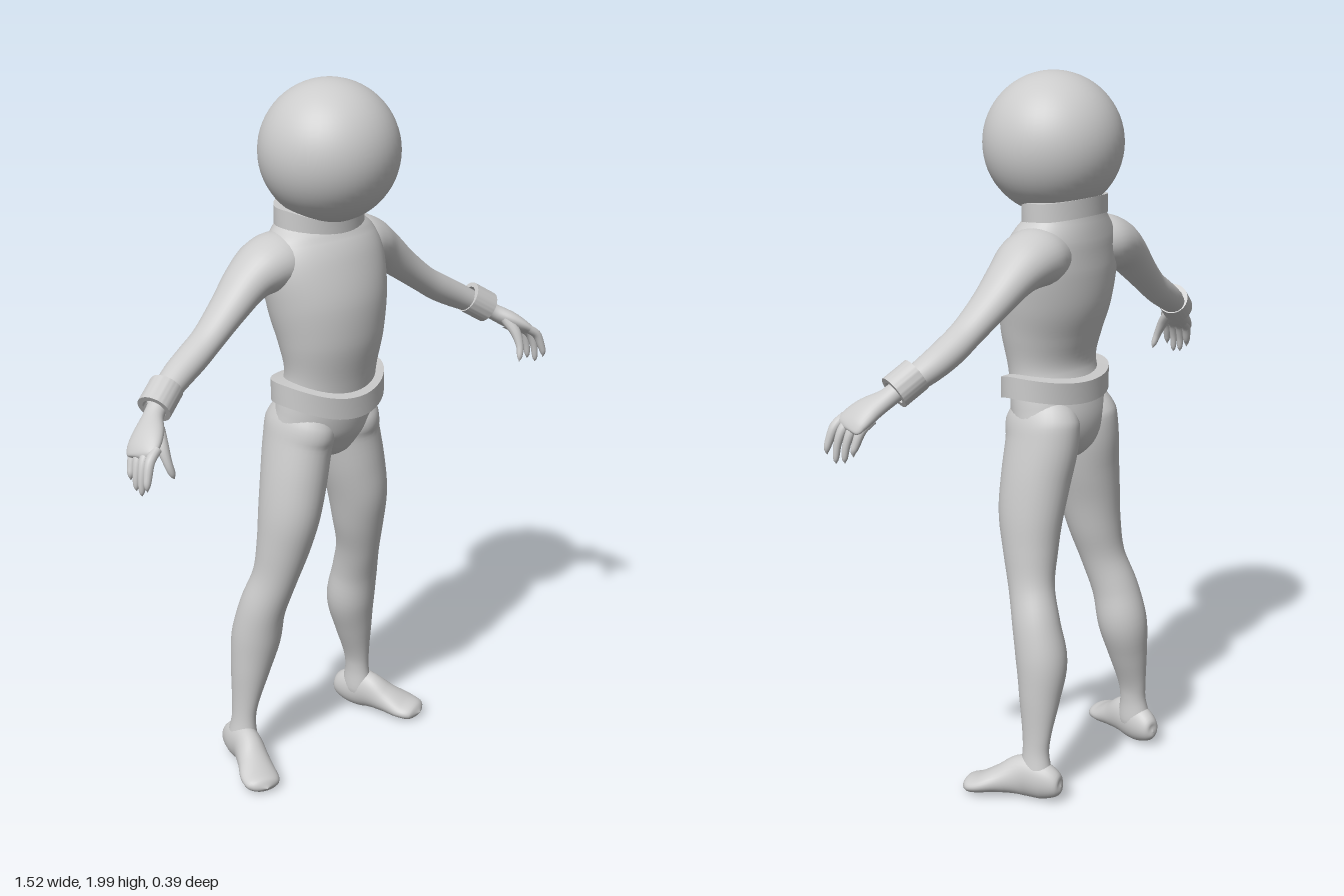
import * as THREE from 'three';
import { toCreasedNormals } from 'three/addons/utils/BufferGeometryUtils.js';

const material = new THREE.MeshStandardMaterial({ color: 0xcccccc });
const X = new THREE.Vector3(1, 0, 0);
const Y = new THREE.Vector3(0, 1, 0);
const Z = new THREE.Vector3(0, 0, 1);

function addMesh(parent, name, geometry) {
  const mesh = new THREE.Mesh(geometry, material);
  mesh.name = name;
  parent.add(mesh);
  return mesh;
}

// Smooth loft through sections [x, y, z, a, b]: elliptical rings square to the
// path, a = half-size along ref, b = half-size across it. side = -1 mirrors x.
function loft(sections, ref, side = 1, steps = 5, sides = 32) {
  const path = new THREE.CatmullRomCurve3(
    sections.map(s => new THREE.Vector3(s[0] * side, s[1], s[2])), false, 'catmullrom');
  const sizes = new THREE.CatmullRomCurve3(
    sections.map(s => new THREE.Vector3(s[3], s[4], 0)), false, 'catmullrom');
  const rings = (sections.length - 1) * steps;
  const positions = [], index = [];
  for (let i = 0; i <= rings; i++) {
    const c = path.getPoint(i / rings), r = sizes.getPoint(i / rings);
    const t = path.getTangent(i / rings);
    const u = ref.clone().addScaledVector(t, -ref.dot(t)).normalize();
    const v = t.clone().cross(u);
    for (let j = 0; j < sides; j++) {
      const angle = j / sides * Math.PI * 2;
      const p = c.clone()
        .addScaledVector(u, Math.max(r.x, 0.0005) * Math.cos(angle))
        .addScaledVector(v, Math.max(r.y, 0.0005) * Math.sin(angle));
      positions.push(p.x, Math.max(p.y, 0), p.z);
      if (i < rings) {
        const a = i * sides + j, b = i * sides + (j + 1) % sides;
        index.push(a, b, b + sides, a, b + sides, a + sides);
      }
    }
  }
  const geometry = new THREE.BufferGeometry();
  geometry.setAttribute('position', new THREE.Float32BufferAttribute(positions, 3));
  geometry.setIndex(index);
  geometry.computeVertexNormals();
  return geometry;
}

// Elliptical band of rectangular section; front and back shift its y
function band(rx, rz, height, wall, front = 0, back = 0) {
  const h = height / 2, k = 1 - wall / rx;
  const profile = [[k, -h], [1, -h], [1.0, h], [k, h], [k, -h]]
    .map(p => new THREE.Vector2(...p));
  const geometry = new THREE.LatheGeometry(profile, 48);
  const p = geometry.attributes.position;
  for (let i = 0; i < p.count; i++) {
    const s = p.getZ(i);
    p.setXYZ(i, p.getX(i) * rx, p.getY(i) + s * s * (s > 0 ? front : back), s * rz);
  }
  return toCreasedNormals(geometry, 0.7);
}

function addArm(root, side) {
  const arm = new THREE.Group();
  arm.name = side > 0 ? 'leftArm' : 'rightArm';
  root.add(arm);

  addMesh(arm, 'sleeve', loft([
    [0.05, 1.52, -0.04, 0.07, 0.05], [0.13, 1.525, -0.047, 0.092, 0.078],
    [0.19, 1.515, -0.05, 0.088, 0.073], [0.25, 1.485, -0.05, 0.072, 0.057],
    [0.32, 1.43, -0.043, 0.058, 0.046], [0.4, 1.37, -0.032, 0.048, 0.039],
    [0.46, 1.332, -0.025, 0.046, 0.04], [0.52, 1.3, -0.015, 0.043, 0.038],
    [0.58, 1.268, 0.003, 0.036, 0.032], [0.62, 1.245, 0.02, 0.028, 0.025],
  ], Z, side));

  const cuff = addMesh(arm, 'cuff', band(0.046, 0.046, 0.075, 0.014));
  cuff.position.set(0.597, 1.265, 0.01);
  cuff.position.x *= side;
  cuff.quaternion.setFromUnitVectors(Y, new THREE.Vector3(0.8 * side, -0.52, 0.3).normalize());

  addMesh(arm, 'palm', loft([
    [0.6, 1.26, 0.014, 0.028, 0.026], [0.64, 1.232, 0.033, 0.029, 0.024],
    [0.68, 1.205, 0.062, 0.045, 0.025], [0.71, 1.182, 0.08, 0.05, 0.02],
    [0.728, 1.165, 0.088, 0.042, 0.012], [0.733, 1.16, 0.09, 0, 0],
  ], Z, side));

  // Four curled fingers, then the thumb
  for (let i = 0; i < 4; i++) {
    const z = 0.125 - 0.027 * i, x = -0.004 * i, tip = [0.02, 0, 0.005, 0.025][i];
    addMesh(arm, 'finger', loft([
      [0.7 + x, 1.185, z - 0.004, 0.013, 0.013], [0.73 + x, 1.163, z + 0.005, 0.014, 0.013],
      [0.745 + x, 1.125, z + 0.013, 0.011, 0.011], [0.75 + x, 1.085 + tip, z + 0.016, 0.008, 0.008],
      [0.75 + x, 1.07 + tip, z + 0.016, 0, 0],
    ], Z, side, 4, 12));
  }
  addMesh(arm, 'thumb', loft([
    [0.655, 1.215, 0.07, 0.018, 0.016], [0.667, 1.18, 0.1, 0.017, 0.015],
    [0.667, 1.14, 0.12, 0.012, 0.011], [0.66, 1.11, 0.128, 0.009, 0.008],
    [0.655, 1.095, 0.13, 0, 0],
  ], X, side, 4, 12));
}

function addLeg(root, side) {
  const leg = new THREE.Group();
  leg.name = side > 0 ? 'leftLeg' : 'rightLeg';
  root.add(leg);

  addMesh(leg, 'trouserLeg', loft([
    [0.07, 1.12, -0.015, 0.06, 0.08], [0.082, 1.06, -0.022, 0.08, 0.113],
    [0.092, 1.0, -0.028, 0.085, 0.11], [0.112, 0.9, -0.022, 0.086, 0.103],
    [0.132, 0.8, -0.02, 0.08, 0.096], [0.147, 0.7, -0.03, 0.071, 0.081],
    [0.165, 0.6, -0.048, 0.06, 0.068], [0.184, 0.5, -0.08, 0.065, 0.069],
    [0.19, 0.4, -0.103, 0.07, 0.073], [0.208, 0.3, -0.11, 0.054, 0.06],
    [0.226, 0.2, -0.114, 0.034, 0.045], [0.232, 0.14, -0.115, 0.031, 0.041],
    [0.236, 0.07, -0.118, 0.038, 0.052], [0.238, 0.04, -0.12, 0.02, 0.03],
  ], X, side));

  addMesh(leg, 'foot', loft([
    [0.222, 0.056, -0.198, 0, 0], [0.224, 0.056, -0.188, 0.026, 0.032],
    [0.233, 0.063, -0.145, 0.039, 0.055], [0.247, 0.068, -0.085, 0.041, 0.06],
    [0.273, 0.05, -0.025, 0.048, 0.04], [0.297, 0.034, 0.025, 0.056, 0.027],
    [0.309, 0.027, 0.062, 0.045, 0.021], [0.314, 0.025, 0.08, 0, 0],
  ], X, side));
}

export function createModel() {
  const root = new THREE.Group();
  root.name = 'suitedFigure';

  const helmet = addMesh(root, 'helmet', new THREE.SphereGeometry(0.191, 48, 32));
  helmet.position.set(0, 1.809, 0.004);

  // Torso from the crotch up to the neck
  addMesh(root, 'torso', loft([
    [0, 0.935, -0.025, 0.01, 0.02], [0, 0.965, -0.026, 0.075, 0.075],
    [0, 1.03, -0.024, 0.155, 0.108], [0, 1.1, -0.012, 0.156, 0.115],
    [0, 1.2, 0.008, 0.143, 0.106], [0, 1.3, 0.01, 0.161, 0.126],
    [0, 1.4, -0.003, 0.183, 0.139], [0, 1.5, -0.02, 0.196, 0.128],
    [0, 1.57, -0.035, 0.18, 0.108], [0, 1.62, -0.04, 0.135, 0.09],
    [0, 1.67, -0.035, 0.1, 0.075], [0, 1.7, -0.03, 0, 0],
  ], X, 1, 6, 48));

  const collar = addMesh(root, 'collar', band(0.139, 0.101, 0.05, 0.022, -0.035, 0.012));
  collar.position.set(0, 1.64, -0.035);

  const belt = addMesh(root, 'belt', band(0.178, 0.129, 0.06, 0.045, -0.045, -0.022));
  belt.position.set(0, 1.165, -0.002);

  for (const side of [1, -1]) {
    addArm(root, side);
    addLeg(root, side);
  }
  return root;
}
